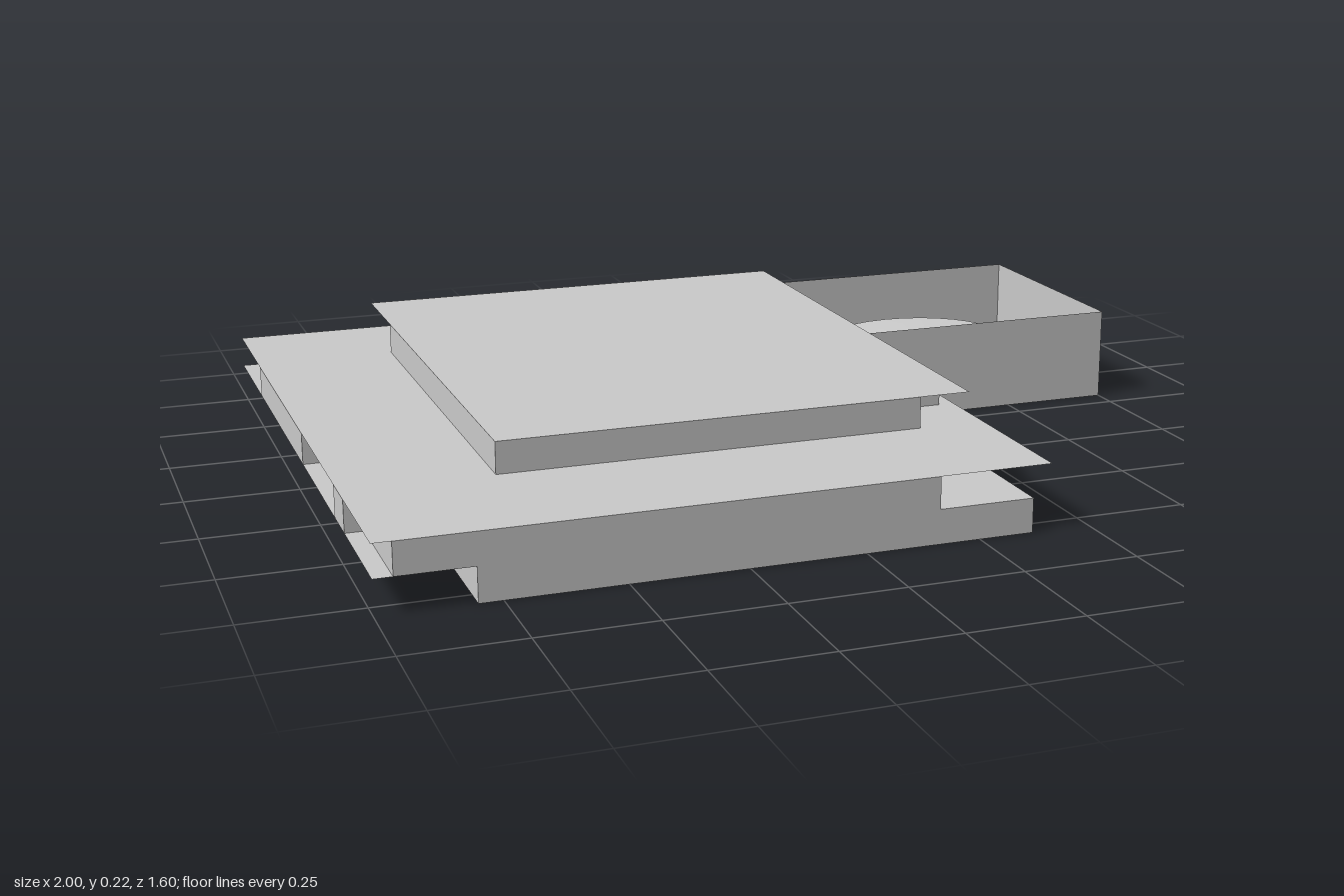
import * as THREE from 'three';

const mat = new THREE.MeshStandardMaterial({ color: 0xcccccc, side: THREE.DoubleSide });

export function createModel() {
  const model = new THREE.Group();

  const add = (name, geometry) => {
    const mesh = new THREE.Mesh(geometry, mat);
    mesh.name = name;
    model.add(mesh);
    return mesh;
  };

  // Thin horizontal slab from an outline of [x, z] corners
  const slab = (name, y, outline) => {
    const shape = new THREE.Shape(outline.map(([x, z]) => new THREE.Vector2(x, -z)));
    const g = new THREE.ShapeGeometry(shape);
    g.rotateX(-Math.PI / 2);
    g.translate(0, y, 0);
    return add(name, g);
  };

  // Thin vertical walls following a line of [x, z] corners
  const walls = (name, y0, y1, line) => {
    const pos = [];
    for (let i = 0; i < line.length - 1; i++) {
      const [ax, az] = line[i], [bx, bz] = line[i + 1];
      pos.push(ax, y0, az, bx, y0, bz, bx, y1, bz, ax, y0, az, bx, y1, bz, ax, y1, az);
    }
    const g = new THREE.BufferGeometry();
    g.setAttribute('position', new THREE.Float32BufferAttribute(pos, 3));
    g.computeVertexNormals();
    return add(name, g);
  };

  const Y1 = 0.075, Y2 = 0.145, Y3 = 0.215;

  // Ground storey, L-shaped with the ramp yard
  slab('groundFloor', 0.002, [[-0.8, 0.8], [0.37, 0.8], [0.37, -0.06], [1, -0.06], [1, -0.625], [-0.8, -0.625]]);
  walls('groundWalls', 0, Y1, [[0.375, -0.625], [-0.8, -0.625], [-0.8, 0.8], [0.37, 0.8], [0.37, -0.06]]);

  // Middle storey with recessed terraces
  slab('middleFloor', Y1, [[-1, 0.8], [0.37, 0.8], [0.37, -0.62], [0.16, -0.62], [0.16, -0.8], [-1, -0.8]]);
  walls('middleWalls', Y1, Y2, [
    [0.375, -0.06], [0.375, 0.41], [0.16, 0.41], [0.16, 0.8], [-0.96, 0.8], [-0.96, 0.53],
    [-1, 0.53], [-1, 0.43], [-0.8, 0.43], [-0.8, 0.06], [-1, 0.06], [-1, -0.51],
    [-0.8, -0.51], [-0.8, -0.8], [0.16, -0.8], [0.16, -0.62], [0.375, -0.62]]);

  // Upper storey and roof
  slab('upperFloor', Y2, [
    [-1, 0.8], [0.41, 0.8], [0.41, 0.01], [0.375, 0.01], [0.375, -0.62], [0.16, -0.62], [0.16, -0.8], [-1, -0.8]]);
  walls('upperWalls', Y2, Y3, [
    [0.375, -0.06], [0.375, 0.33], [0.26, 0.33], [0.26, 0.48], [-0.68, 0.48], [-0.68, -0.54],
    [-0.63, -0.54], [-0.63, -0.77], [0.19, -0.77], [0.19, -0.62], [0.375, -0.62]]);
  slab('roof', Y3, [[-0.68, 0.48], [0.375, 0.48], [0.375, -0.77], [-0.68, -0.77]]);

  // Open ramp yard
  walls('rampYardWalls', 0, Y3, [[0.375, -0.06], [1, -0.06], [1, -0.625], [0.375, -0.625]]);
  walls('rampYardInnerWall', 0, Y3, [[0.375, -0.625], [0.375, -0.06]]);

  // Small ledge beside the ramp yard
  const ledge = add('ledge', new THREE.BoxGeometry(0.03, 0.02, 0.065));
  ledge.position.set(0.365, 0.135, -0.0175);

  // Spiral ramp: a tight upper turn, then a lower turn shifted outwards
  const cz = -0.345, inner = 0.06, outer = 0.235;
  const path = [];
  const turn = 32;
  for (let i = 0; i <= turn; i++) path.push([0.6, (i / turn) * Math.PI * 2]);
  for (let i = 0; i <= turn / 2; i++) path.push([0.745, Math.PI * (2 + (2 * i) / turn)]);
  path.push([0.38, Math.PI * 3]);
  const pos = [], index = [];
  path.forEach(([cx, a], i) => {
    const y = Y2 - (Y2 - 0.01) * (i / (path.length - 1));
    for (const r of [inner, outer]) pos.push(cx + r * Math.sin(a), y, cz + r * Math.cos(a));
    if (i) {
      const k = 2 * i;
      index.push(k - 2, k - 1, k + 1, k - 2, k + 1, k);
    }
  });
  const ramp = new THREE.BufferGeometry();
  ramp.setAttribute('position', new THREE.Float32BufferAttribute(pos, 3));
  ramp.setIndex(index);
  ramp.computeVertexNormals();
  add('spiralRamp', ramp);

  // Level strip joining the upper floor to the ramp
  slab('rampEntry', Y2, [[0.375, -0.11], [0.6, -0.11], [0.6, -0.285], [0.375, -0.285]]);

  return model;
}
